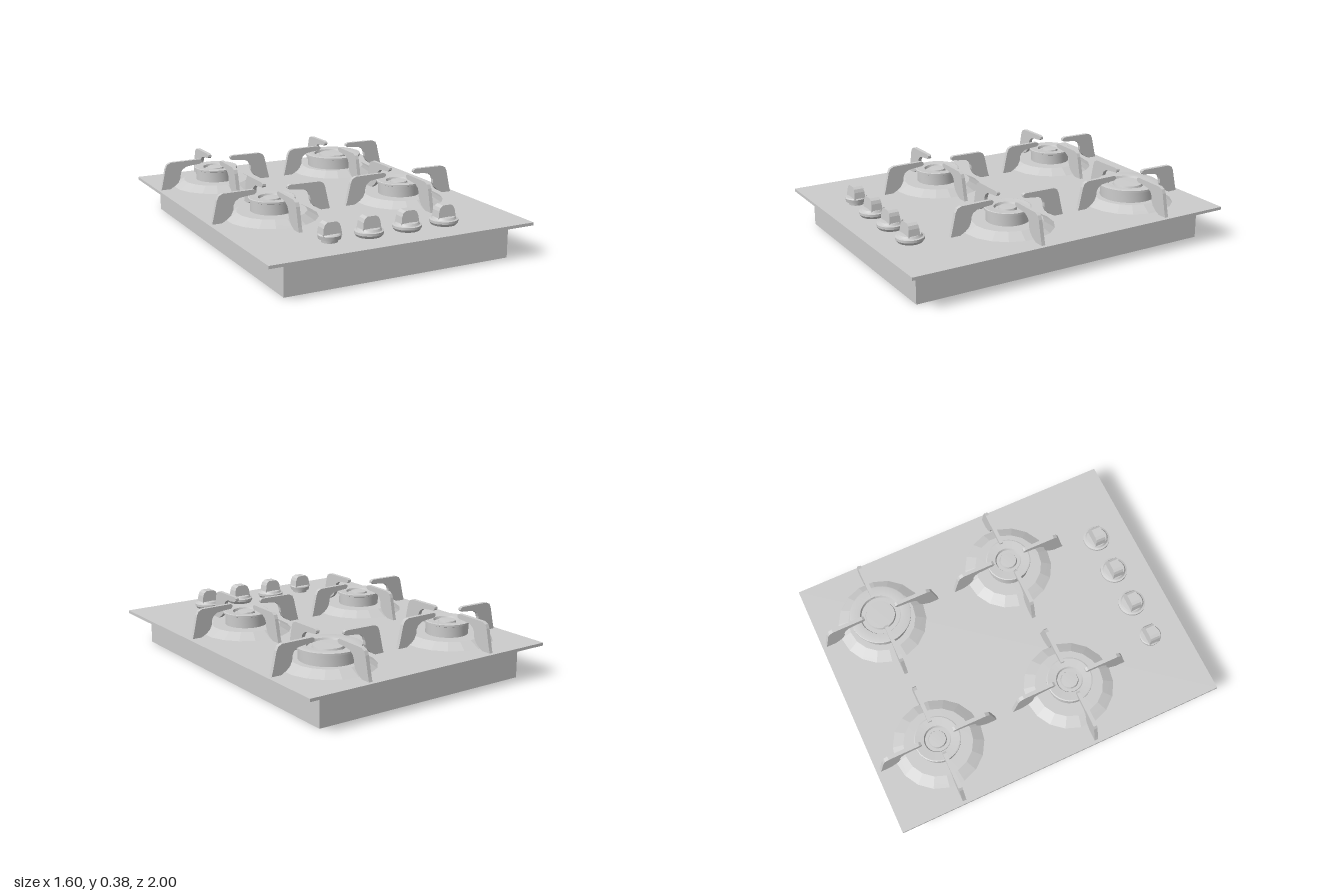
import * as THREE from 'three';
import { toCreasedNormals } from 'three/addons/utils/BufferGeometryUtils.js';

const steel = new THREE.MeshStandardMaterial({ color: 0xcccccc });
steel.name = 'brushed steel';

function mesh(name, geometry, x = 0, y = 0, z = 0) {
  const m = new THREE.Mesh(geometry, steel);
  m.name = name;
  m.position.set(x, y, z);
  return m;
}

const points = (list) => list.map(([x, y]) => new THREE.Vector2(x, y));

// Turned part; profile runs from the bottom outside to the top centre
function turned(name, profile, sides, crease = 0.4) {
  return mesh(name, toCreasedNormals(new THREE.LatheGeometry(points(profile), sides), crease));
}

// Upright slab with its outline in x and y, centred on z
function slab(name, outline, depth) {
  const geometry = new THREE.ExtrudeGeometry(new THREE.Shape(points(outline)), { depth, bevelEnabled: false });
  geometry.translate(0, 0, -depth / 2);
  return mesh(name, geometry);
}

// Hooked arm: foot on the plate, finger reaching over the burner
const armOutline = [
  [0.363, 0.207], [0.355, 0.235], [0.331, 0.34], [0.32, 0.362], [0.297, 0.373], [0.11, 0.375],
  [0.097, 0.368], [0.096, 0.357], [0.108, 0.347], [0.16, 0.343], [0.2, 0.337], [0.225, 0.32],
  [0.235, 0.298], [0.237, 0.272], [0.25, 0.245], [0.272, 0.225], [0.305, 0.207],
];

function burner(x, z, large) {
  const g = new THREE.Group();
  g.name = 'burner';
  g.position.set(x, 0, z);
  const cap = large ? 0.18 : 0.133;
  const body = large ? 0.163 : 0.122;
  const well = large ? 0.12 : 0.077;
  const hub = large ? 0.085 : 0.048;

  // Faceted rise in the plate
  g.add(turned('spillDome', [[0.267, 0.205], [0.235, 0.223], [0.2, 0.242], [0, 0.245]], 18, 0.1));
  // Flame ring, overhanging cap, well and central hub
  g.add(turned('burnerHead', [
    [body, 0.24], [body, 0.304], [cap, 0.308], [cap, 0.319], [cap - 0.006, 0.321],
    [well, 0.317], [well - 0.006, 0.303], [hub + 0.004, 0.303], [hub, 0.316], [0, 0.318],
  ], 40));
  for (let i = 0; i < 4; i++) {
    const arm = slab('grateArm', armOutline, 0.022);
    arm.rotation.y = i * Math.PI / 2;
    g.add(arm);
  }
  return g;
}

function knob(x, z, plain) {
  const g = new THREE.Group();
  g.name = plain ? 'ignitionKnob' : 'controlKnob';
  g.position.set(x, 0, z);
  // Flared collar, narrower at its foot on the plain knob
  const collar = plain
    ? [[0.044, 0.205], [0.046, 0.222], [0.06, 0.225], [0.064, 0.247], [0.058, 0.253], [0, 0.255]]
    : [[0.068, 0.205], [0.08, 0.222], [0.08, 0.236], [0.069, 0.239], [0.061, 0.251], [0, 0.255]];
  g.add(turned('knobCollar', collar, 32));
  // Tapered finger grip, narrowing front to back as it rises
  const grip = slab('knobGrip', [
    [0.056, 0.245], [0.05, 0.288], [0.042, 0.307], [0.026, 0.318],
    [-0.026, 0.318], [-0.042, 0.307], [-0.05, 0.288], [-0.056, 0.245],
  ], 0.07);
  const p = grip.geometry.attributes.position;
  for (let i = 0; i < p.count; i++) p.setZ(i, p.getZ(i) * (1 - (p.getY(i) - 0.245) * 2.6));
  grip.geometry.computeVertexNormals();
  g.add(grip);
  return g;
}

export function createModel() {
  const model = new THREE.Group();
  model.name = 'gasHob';
  model.add(mesh('underBody', new THREE.BoxGeometry(1.37, 0.192, 1.84), 0, 0.096, 0.005));
  model.add(mesh('topPlate', new THREE.BoxGeometry(1.6, 0.017, 2), 0, 0.1985, 0));

  for (const x of [-0.418, 0.413]) {
    for (const z of [-0.613, 0.218]) model.add(burner(x, z, x > 0 && z < 0));
  }
  for (let i = 0; i < 4; i++) model.add(knob(-0.355 + i * 0.235, 0.787, i === 0));
  return model;
}
